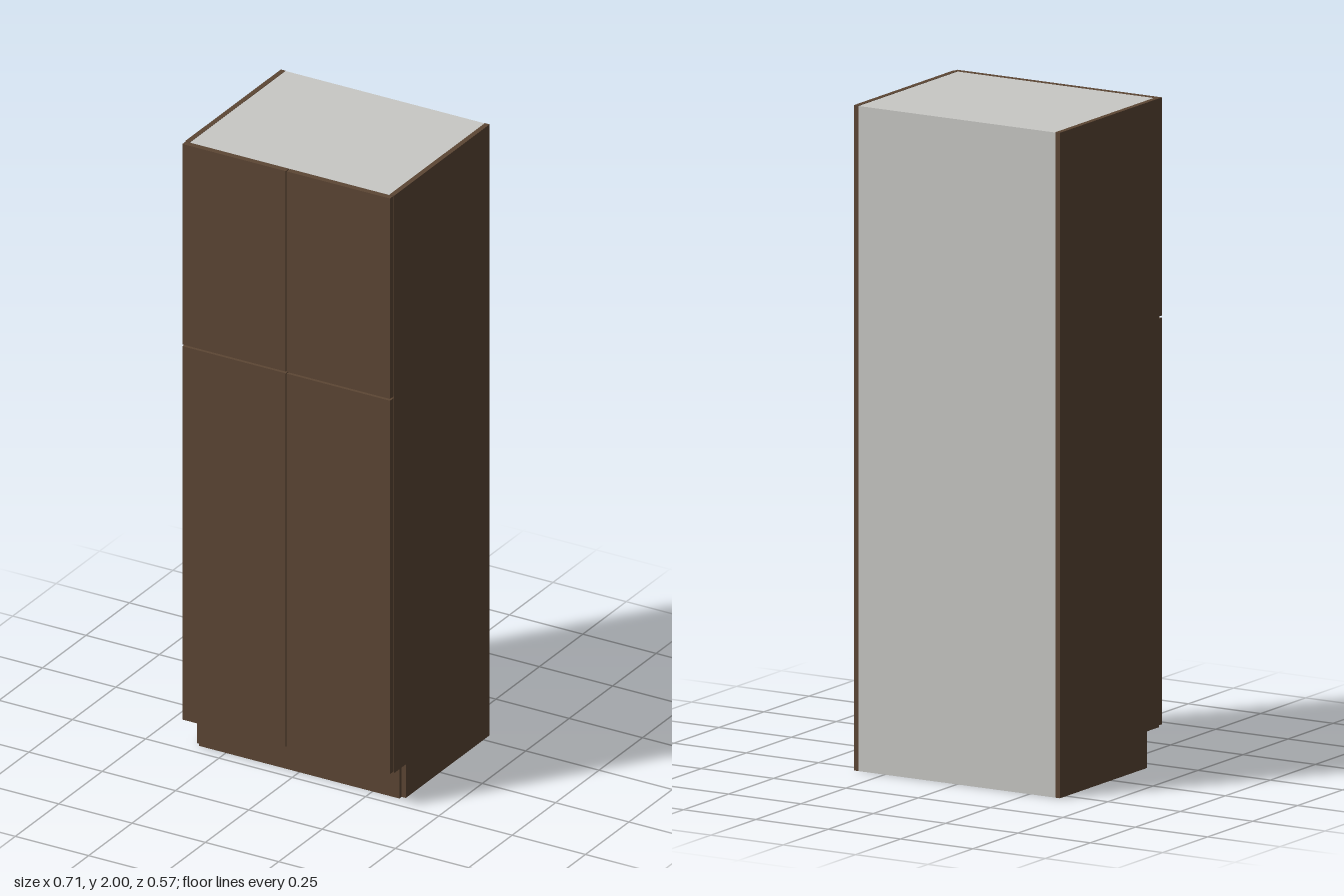
import * as THREE from 'three';

export function createModel() {
  const group = new THREE.Group();
  const wood = new THREE.MeshStandardMaterial({ color: 0x5c4634 });
  wood.name = 'darkWood';
  const board = new THREE.MeshStandardMaterial({ color: 0xc8c8c5 });
  board.name = 'greyBoard';

  // Box given by its min and max on each axis
  const box = (name, material, [x0, x1], [y0, y1], [z0, z1]) => {
    const mesh = new THREE.Mesh(new THREE.BoxGeometry(x1 - x0, y1 - y0, z1 - z0), material);
    mesh.position.set((x0 + x1) / 2, (y0 + y1) / 2, (z0 + z1) / 2);
    mesh.name = name;
    group.add(mesh);
  };

  const W = 0.356, T = 0.016, IN = W - T;
  const BACK = -0.285, FRONT = 0.265, DOOR = 0.285;
  const BASE = 0.11, SPLIT = 1.34, TOP = 2;

  // Side panels, plinth sides and doors, mirrored
  for (const s of [-1, 1]) {
    const side = s > 0 ? 'left' : 'right';
    const span = (a, b) => (s > 0 ? [a, b] : [-b, -a]);
    box(side + 'SidePanel', wood, span(IN, W), [BASE, TOP], [BACK, FRONT]);
    box(side + 'PlinthSide', wood, span(IN, W), [0, BASE], [BACK, 0.197]);
    box(side + 'LowerDoor', wood, span(0.0015, 0.354), [0.115, SPLIT - 0.003], [FRONT + 0.001, DOOR]);
    box(side + 'UpperDoor', wood, span(0.0015, 0.354), [SPLIT + 0.003, TOP - 0.001], [FRONT + 0.001, DOOR]);
  }

  // Recessed kick board
  box('kickBoard', wood, [-0.342, 0.342], [0, BASE - 0.001], [0.197, 0.21]);

  // Back, top and bottom boards
  box('backPanel', board, [-IN, IN], [0, TOP - 0.001], [BACK, BACK + 0.008]);
  box('topPanel', board, [-IN, IN], [TOP - T, TOP - 0.001], [BACK + 0.008, FRONT]);
  box('bottomPanel', board, [-IN, IN], [BASE, BASE + T], [BACK + 0.008, FRONT]);

  // Inner shelves
  for (const y of [0.57, 1.05, 1.53]) {
    box('shelf', board, [-IN, IN], [y - T / 2, y + T / 2], [BACK + 0.008, FRONT - 0.02]);
  }
  return group;
}
